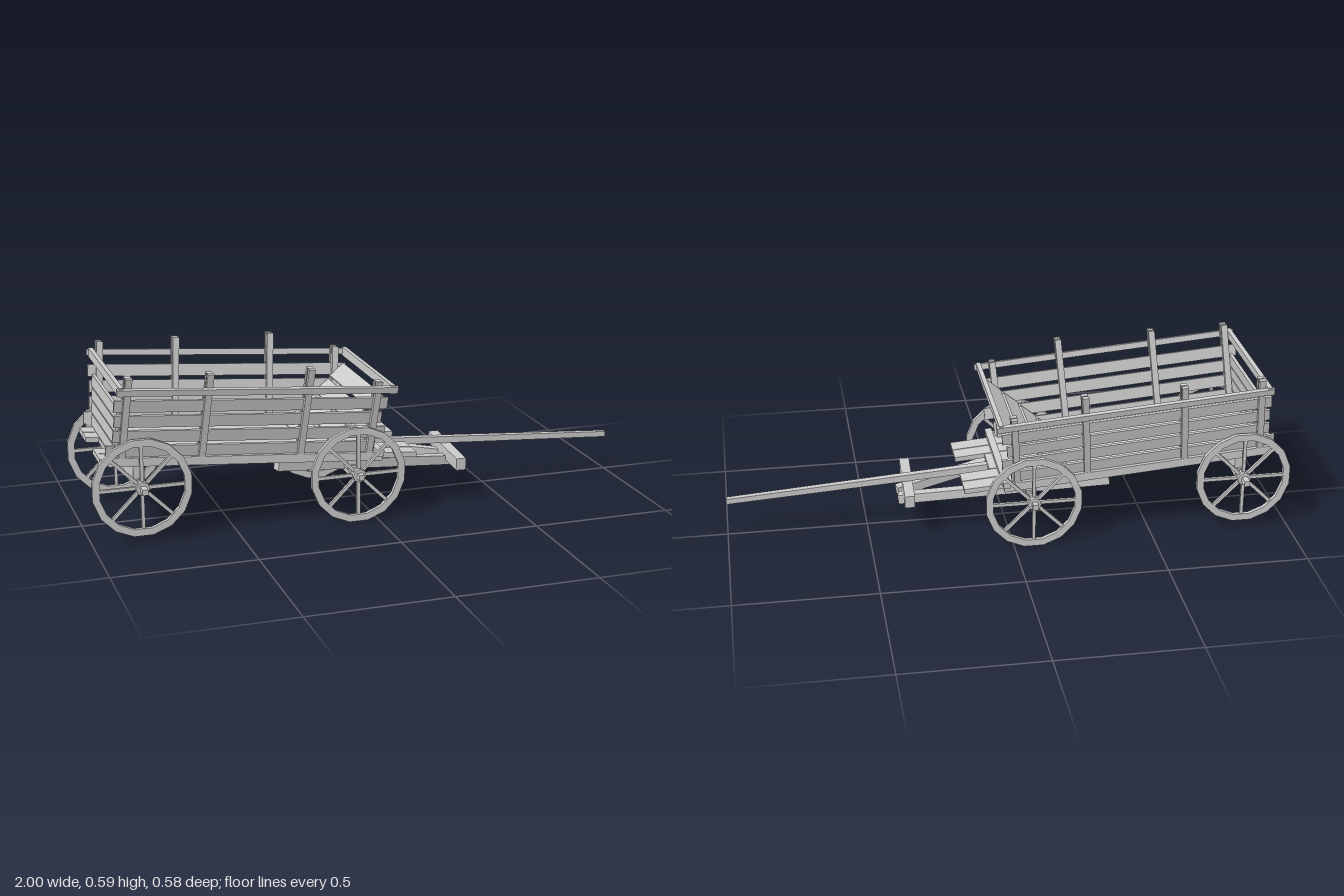
import * as THREE from 'three';

const mat = new THREE.MeshStandardMaterial({ color: 0xcccccc, flatShading: true });

function mesh(parent, name, geo) {
  const m = new THREE.Mesh(geo, mat);
  m.name = name;
  parent.add(m);
  return m;
}

function box(parent, name, size, pos, rot = [0, 0, 0]) {
  const m = mesh(parent, name, new THREE.BoxGeometry(...size));
  m.position.set(...pos);
  m.rotation.set(...rot);
  return m;
}

// Square timber running from point a to point b
function beam(parent, name, a, b, height, width) {
  const from = new THREE.Vector3(...a), to = new THREE.Vector3(...b);
  const dir = to.clone().sub(from);
  const m = mesh(parent, name, new THREE.BoxGeometry(dir.length(), height, width));
  dir.normalize();
  const side = new THREE.Vector3().crossVectors(dir, new THREE.Vector3(0, 1, 0)).normalize();
  const up = new THREE.Vector3().crossVectors(side, dir);
  m.quaternion.setFromRotationMatrix(new THREE.Matrix4().makeBasis(dir, up, side));
  m.position.copy(from).add(to).multiplyScalar(0.5);
  return m;
}

// Spoked wheel in the XY plane
function wheel(parent, name, x, y, z) {
  const g = new THREE.Group();
  g.name = name;
  g.position.set(x, y, z);
  const ring = (r, Type) => new Type(Array.from({ length: 16 }, (_, i) => {
    const a = ((i + 0.5) / 16) * Math.PI * 2;
    return new THREE.Vector2(r * Math.cos(a), r * Math.sin(a));
  }));
  const shape = ring(0.173, THREE.Shape);
  shape.holes.push(ring(0.148, THREE.Path));
  const rim = new THREE.ExtrudeGeometry(shape, { depth: 0.015, bevelEnabled: false });
  mesh(g, 'rim', rim.translate(0, 0, -0.0075));
  mesh(g, 'hub', new THREE.CylinderGeometry(0.024, 0.024, 0.035, 8)).rotation.x = Math.PI / 2;
  for (let i = 0; i < 8; i++) {
    const a = (i / 8) * Math.PI * 2;
    box(g, 'spoke', [0.135, 0.012, 0.01], [0.085 * Math.cos(a), 0.085 * Math.sin(a), 0], [0, 0, a]);
  }
  parent.add(g);
}

export function createModel() {
  const cart = new THREE.Group();
  cart.name = 'woodenWagon';

  // Wheels, axles and bolsters
  for (const [end, x, y, z] of [['rear', -0.83, 0.207, 0.234], ['front', -0.07, 0.176, 0.249]]) {
    for (const s of [1, -1]) wheel(cart, end + (s > 0 ? 'Left' : 'Right') + 'Wheel', x, y, s * z);
    box(cart, end + 'Axle', [0.02, 0.02, 0.58], [x, y, 0]);
    box(cart, end + 'AxleBeam', [0.035, 0.035, 0.4], [x, y, 0]);
    const top = 0.21 - 0.08 * x;
    box(cart, end + 'Bolster', [0.04, top - y, 0.38], [x, (top + y) / 2, 0]);
  }

  // Body, sloping down toward the drawbar; local y = 0 is the floor
  const body = new THREE.Group();
  body.name = 'body';
  body.position.set(0, 0.22, 0);
  body.rotation.z = -0.08;
  cart.add(body);

  const flare = 0.19;
  const sideZ = (h) => 0.195 + flare * h;

  // Floor planks
  for (const s of [1, -1]) {
    [[0.03, -0.92, 0.06], [0.095, -0.965, 0.168], [0.16, -0.965, 0.168]].forEach(([z, x0, x1]) =>
      box(body, 'floorPlank', [x1 - x0, 0.018, 0.061], [(x0 + x1) / 2, 0, s * z]));
    box(body, 'sill', [0.97, 0.03, 0.022], [-0.455, 0.005, s * 0.207]);
  }
  box(body, 'frontSill', [0.025, 0.022, 0.45], [0.02, 0.018, 0]);

  // Flared sides: planks held between pairs of posts, with a top rail
  for (const s of [1, -1]) {
    [[0.04, -0.95, 0.0], [0.095, -0.93, 0.03], [0.15, -0.93, 0.01], [0.205, -0.935, 0.025]].forEach(([h, x0, x1]) =>
      box(body, 'sidePlank', [x1 - x0, 0.043, 0.01], [(x0 + x1) / 2, h, s * sideZ(h)], [s * flare, 0, 0]));
    for (const [x, top] of [[-0.895, 0.31], [-0.62, 0.325], [-0.27, 0.34], [-0.02, 0.29]]) {
      for (const off of [-0.012, 0.012]) {
        const h = top / 2;
        box(body, 'post', [0.023, top, 0.014], [x, h, s * (sideZ(h) + off)], [s * flare, 0, 0]);
      }
    }
    box(body, 'topRail', [0.98, 0.022, 0.016], [-0.445, 0.262, s * (sideZ(0.262) + 0.026)], [s * flare, 0, 0]);
  }
  for (const x of [-0.92, 0.028]) box(body, 'crossRail', [0.016, 0.03, 0.55], [x, 0.262, 0]);

  // Upright tailboard
  for (let i = 0; i < 4; i++) {
    const h = 0.035 + i * 0.046;
    box(body, 'tailPlank', [0.012, 0.042, 2 * sideZ(h) - 0.01], [-0.915, h, 0]);
  }

  // Headboard leaning forward
  for (let i = 0; i < 4; i++) {
    const h = 0.035 + i * 0.056, x = -0.185 + i * 0.058;
    box(body, 'headPlank', [0.012, 0.068, 2 * sideZ(h) - 0.035], [x, h, 0], [0, 0, -0.8]);
  }
  for (const s of [1, -1]) {
    beam(body, 'headBrace', [-0.2, 0.01, s * 0.13], [0.01, 0.22, s * 0.13], 0.012, 0.025).position.x += 0.012;
  }

  // Drawbar: converging arms, crossbar and long pole
  for (const s of [1, -1]) {
    beam(cart, 'drawbarArm', [-0.35, 0.222, s * 0.195], [0.385, 0.118, s * 0.03], 0.034, 0.034);
  }
  beam(cart, 'crossbar', [0.342, 0.148, 0.182], [0.356, 0.155, -0.14], 0.044, 0.036);
  const pole = mesh(cart, 'pole', new THREE.CylinderGeometry(0.014, 0.019, 1.03, 4));
  pole.geometry.rotateY(Math.PI / 4);
  pole.position.set(0.484, 0.178, -0.004);
  pole.rotation.set(0, 0, -Math.PI / 2 - 0.068);
  return cart;
}
